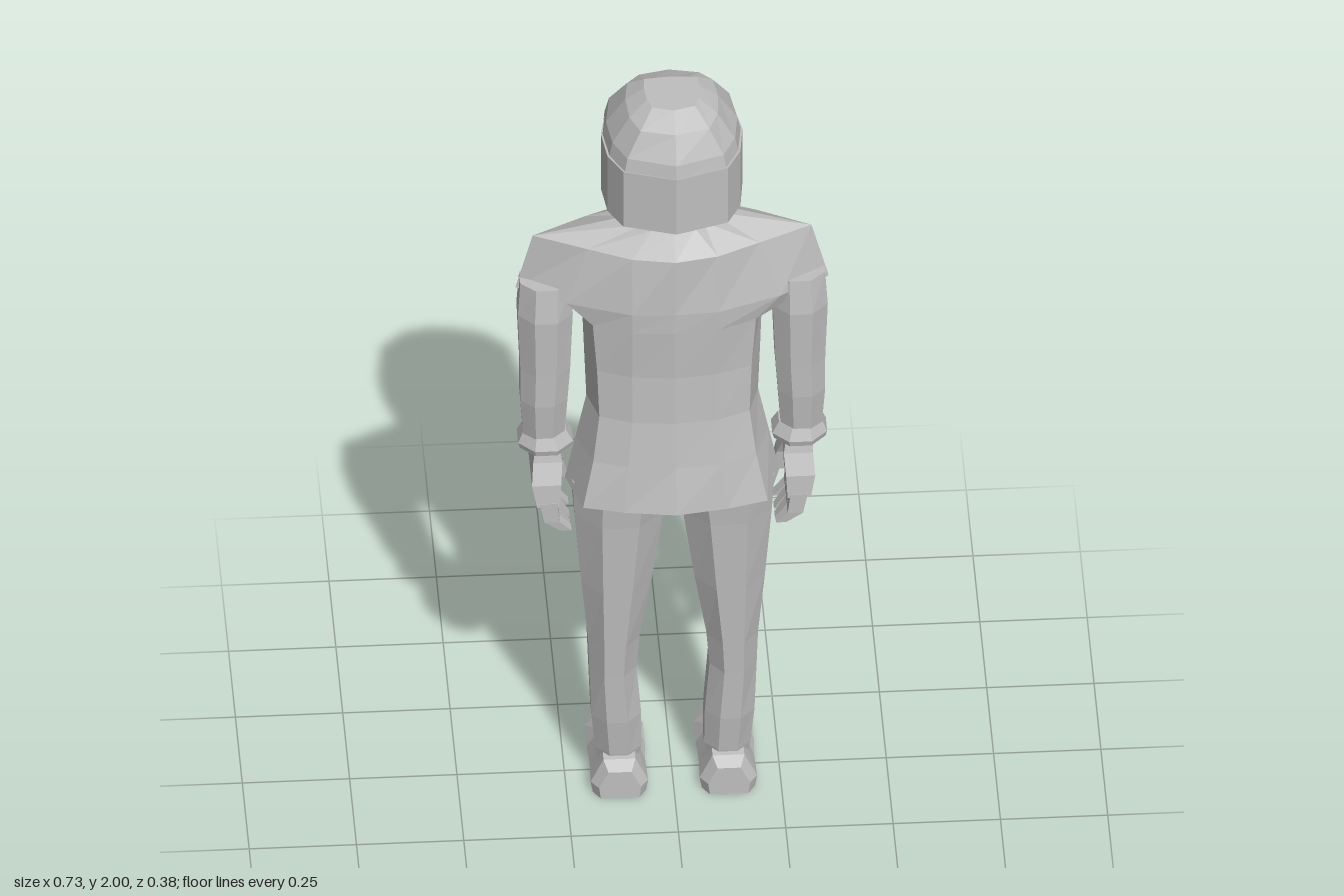
import * as THREE from 'three';

const clothGrey = new THREE.MeshStandardMaterial({ color: 0xbfbfbf });
clothGrey.name = 'plain grey';

// Skin equal-length rings of [x, y, z] into a closed faceted solid facing outward.
function loft(name, rings) {
  const tris = [];
  const n = rings[0].length;
  for (let i = 0; i + 1 < rings.length; i++) {
    for (let j = 0; j < n; j++) {
      const k = (j + 1) % n;
      const a = rings[i][j], b = rings[i][k], c = rings[i + 1][k], d = rings[i + 1][j];
      tris.push([a, b, c], [a, c, d]);
    }
  }
  const centre = r => [0, 1, 2].map(c => r.reduce((s, p) => s + p[c], 0) / n);
  const first = rings[0], last = rings[rings.length - 1];
  const c0 = centre(first), c1 = centre(last);
  for (let j = 0; j < n; j++) {
    const k = (j + 1) % n;
    tris.push([c0, first[k], first[j]], [c1, last[j], last[k]]);
  }
  const V = p => new THREE.Vector3(...p);
  const volume = tris.reduce((s, t) => s + V(t[0]).dot(V(t[1]).cross(V(t[2]))), 0);
  if (volume < 0) tris.forEach(t => t.reverse());
  const geo = new THREE.BufferGeometry();
  geo.setAttribute('position', new THREE.Float32BufferAttribute(tris.flat(2), 3));
  geo.computeVertexNormals();
  const mesh = new THREE.Mesh(geo, clothGrey);
  mesh.name = name;
  return mesh;
}

// Horizontal eight-sided ring, given centre and half sizes.
function oct(cx, y, cz, hx, hz, tilt = 0) {
  return Array.from({ length: 8 }, (_, i) => {
    const a = (i + 0.5) * Math.PI / 4, k = 1 / Math.cos(Math.PI / 8);
    const dz = Math.sin(a) * hz * k;
    return [cx + Math.cos(a) * hx * k, y + dz * tilt, cz + dz];
  });
}

// Rectangle ring lying at height y.
const rect = (cx, y, cz, hx, hz) =>
  [[cx - hx, y, cz - hz], [cx + hx, y, cz - hz], [cx + hx, y, cz + hz], [cx - hx, y, cz + hz]];

// Mirror half an outline (running from centre back to centre front) across x = 0.
const mirrorRing = (half, y) => [
  ...half.map(([x, z]) => [x, y, z]),
  ...half.slice(1, -1).reverse().map(([x, z]) => [-x, y, z])
];

// Jacket sections: height, then back, side and front points.
const jacket = [
  [0.88, [[0, 0.183], [0.12, 0.165], [0.215, 0.14], [0.25, 0.02], [0.19, -0.09], [0.09, -0.115], [0, -0.118]]],
  [1.0, [[0, 0.16], [0.11, 0.15], [0.19, 0.12], [0.225, 0.02], [0.18, -0.085], [0.09, -0.11], [0, -0.112]]],
  [1.12, [[0, 0.145], [0.1, 0.135], [0.175, 0.105], [0.2, 0.02], [0.165, -0.08], [0.09, -0.107], [0, -0.11]]],
  [1.25, [[0, 0.14], [0.1, 0.13], [0.18, 0.1], [0.205, 0.02], [0.175, -0.09], [0.09, -0.13], [0, -0.132]]],
  [1.385, [[0, 0.145], [0.1, 0.138], [0.19, 0.1], [0.21, 0.015], [0.185, -0.1], [0.085, -0.15], [0, -0.153]]],
  [1.44, [[0, 0.145], [0.1, 0.14], [0.25, 0.085], [0.365, 0.015], [0.22, -0.09], [0.085, -0.142], [0, -0.145]]],
  [1.59, [[0, 0.14], [0.1, 0.122], [0.2, 0.075], [0.325, 0.015], [0.2, -0.05], [0.085, -0.1], [0, -0.108]]],
  [1.645, [[0, 0.1], [0.05, 0.085], [0.07, 0.06], [0.085, 0.02], [0.07, -0.02], [0.04, -0.045], [0, -0.055]]]
];

// Thin strip that follows the front of the jacket.
function frontStrip(name, x0, x1, from, to) {
  return loft(name, jacket.slice(from, to).map(([y, h]) => {
    const z = Math.min(h[5][1], h[6][1]);
    return [[x0, y, z - 0.005], [x1, y, z - 0.005], [x1, y, z + 0.004], [x0, y, z + 0.004]];
  }));
}

function makeArm(s) {
  const arm = new THREE.Group();
  arm.name = s > 0 ? 'leftArm' : 'rightArm';
  arm.add(loft('sleeve', [
    oct(s * 0.295, 1.47, 0.018, 0.06, 0.055), oct(s * 0.297, 1.38, 0.018, 0.064, 0.066),
    oct(s * 0.297, 1.22, 0.02, 0.058, 0.058), oct(s * 0.3, 1.13, 0.022, 0.055, 0.054),
    oct(s * 0.3, 1.01, 0.018, 0.047, 0.045)]));
  arm.add(loft('cuff', [
    oct(s * 0.298, 1.03, 0.015, 0.05, 0.05), oct(s * 0.296, 1.0, 0.013, 0.064, 0.064),
    oct(s * 0.296, 0.985, 0.013, 0.06, 0.06)]));
  arm.add(loft('palm', [
    rect(s * 0.292, 0.99, 0.012, 0.028, 0.034), rect(s * 0.292, 0.95, 0.01, 0.034, 0.045),
    rect(s * 0.296, 0.9, 0.01, 0.034, 0.068), rect(s * 0.292, 0.84, 0.012, 0.027, 0.07)]));
  for (let i = 0; i < 4; i++) { // fingers curl inward
    const z = 0.066 - i * 0.036, drop = [0.015, 0, 0, 0.01][i];
    arm.add(loft('finger', [
      rect(s * 0.292, 0.85, z, 0.02, 0.017), rect(s * 0.283, 0.795, z, 0.018, 0.016),
      rect(s * 0.25, 0.752 + drop, z, 0.012, 0.013)]));
  }
  arm.add(loft('thumb', [
    rect(s * 0.288, 0.935, -0.045, 0.022, 0.02), rect(s * 0.27, 0.875, -0.07, 0.022, 0.02),
    rect(s * 0.25, 0.82, -0.07, 0.014, 0.014)]));
  return arm;
}

function makeLeg(s) {
  const leg = new THREE.Group();
  leg.name = s > 0 ? 'leftLeg' : 'rightLeg';
  const rows = [[0.9, 0.12, 0.02, 0.115, 0.113], [0.8, 0.126, 0.018, 0.104, 0.105],
    [0.6, 0.132, 0.018, 0.082, 0.092], [0.43, 0.138, 0.02, 0.06, 0.08], [0.34, 0.14, 0.022, 0.055, 0.072],
    [0.2, 0.132, 0.024, 0.058, 0.062], [0.1, 0.127, 0.022, 0.054, 0.052], [0.06, 0.127, 0.022, 0.045, 0.045]];
  leg.add(loft('trouserLeg', rows.map(([y, x, z, hx, hz]) => oct(s * x, y, z, hx, hz))));
  // Shoe sections run from heel to toe: z, half width, height.
  const shoe = [[0.112, 0.045, 0.075], [0.085, 0.062, 0.093], [0.01, 0.06, 0.1],
    [-0.05, 0.063, 0.078], [-0.13, 0.063, 0.058], [-0.188, 0.042, 0.04]];
  leg.add(loft('shoe', shoe.map(([z, w, h]) => [
    [-w, 0, z], [w, 0, z], [w * 1.08, 0.03, z], [w * 0.6, h, z], [-w * 0.6, h, z], [-w * 1.08, 0.03, z]
  ].map(([x, y, zz]) => [s * 0.127 + x, y, zz]))));
  return leg;
}

function makeHead() {
  const head = new THREE.Group();
  head.name = 'head';
  head.add(loft('neck', [oct(0, 1.6, 0.02, 0.062, 0.06), oct(0, 1.8, 0, 0.058, 0.055)]));
  head.add(loft('collar', [
    oct(0, 1.63, 0.02, 0.08, 0.072, 0.35), oct(0, 1.665, 0.022, 0.088, 0.08, 0.35),
    oct(0, 1.68, 0.02, 0.07, 0.062, 0.35)]));

  // Crown, with its underside forming the fringe.
  const crown = [
    [1.86, [[0, 0.187], [0.12, 0.148], [0.152, 0.085], [0.163, 0], [0.15, -0.098], [0.1, -0.13], [0, -0.138]]],
    [1.905, [[0, 0.18], [0.112, 0.143], [0.143, 0.08], [0.153, 0], [0.14, -0.09], [0.095, -0.13], [0, -0.138]]],
    [1.97, [[0, 0.145], [0.08, 0.125], [0.103, 0.07], [0.108, 0], [0.1, -0.06], [0.07, -0.09], [0, -0.105]]],
    [2.0, [[0, 0.09], [0.05, 0.075], [0.06, 0.045], [0.065, 0], [0.062, -0.034], [0.04, -0.036], [0, -0.04]]]];
  head.add(loft('hairCrown', crown.map(([y, h]) => mirrorRing(h, y))));
  // Hair curtain wraps round the back and sides, open over the face.
  const side = [[0.143, -0.095], [0.165, 0], [0.155, 0.085], [0.122, 0.148]];
  const path = [...side, [0, 0.187], ...side.map(([x, z]) => [-x, z]).reverse()];
  head.add(loft('hairCurtain', path.map(([x, z], i) => {
    const lean = i === 0 || i === path.length - 1 ? 0.02 : 0, k = 0.84;
    return [[x, 1.71, z], [x, 1.87, z - lean], [x * k, 1.87, z * k - lean], [x * k, 1.71, z * k]];
  })));

  // Face sections: height, half width, front depth.
  const face = [[1.665, 0.032, -0.105], [1.69, 0.058, -0.118], [1.725, 0.085, -0.118],
    [1.77, 0.11, -0.114], [1.82, 0.118, -0.108], [1.88, 0.12, -0.118]];
  head.add(loft('face', face.map(([y, w, z], i) => mirrorRing(
    [[0, i ? 0.03 : -0.06], [w, i ? 0.02 : -0.062], [w, i ? -0.05 : -0.075], [w * 0.55, z + 0.014], [0, z]], y))));
  head.add(loft('nose', [
    rect(0, 1.835, -0.11, 0.009, 0.008), rect(0, 1.78, -0.124, 0.014, 0.024), rect(0, 1.762, -0.118, 0.022, 0.012)]));
  head.add(loft('upperLip', [rect(0, 1.75, -0.115, 0.03, 0.009), rect(0, 1.736, -0.116, 0.042, 0.013)]));
  head.add(loft('lowerLip', [rect(0, 1.727, -0.116, 0.034, 0.012), rect(0, 1.714, -0.115, 0.022, 0.009)]));
  for (const s of [-1, 1]) {
    head.add(loft('brow', [rect(s * 0.052, 1.852, -0.107, 0.038, 0.01), rect(s * 0.052, 1.836, -0.106, 0.036, 0.018)]));
    head.add(loft('eye', [rect(s * 0.05, 1.822, -0.102, 0.02, 0.01), rect(s * 0.05, 1.808, -0.103, 0.022, 0.01)]));
    head.add(loft('cheek', [rect(s * 0.062, 1.795, -0.1, 0.024, 0.008), rect(s * 0.056, 1.765, -0.102, 0.02, 0.012),
      rect(s * 0.05, 1.74, -0.1, 0.014, 0.006)]));
  }
  return head;
}

export function createModel() {
  const model = new THREE.Group();
  model.name = 'standingFigure';
  model.add(loft('jacket', jacket.map(([y, h]) => mirrorRing(h, y))));
  model.add(loft('hips', [oct(0, 0.83, 0.02, 0.05, 0.075), oct(0, 0.9, 0.02, 0.17, 0.1)]));
  model.add(frontStrip('buttonSeam', -0.006, 0.006, 0, 7));
  for (const s of [-1, 1]) {
    model.add(frontStrip('frontPanelEdge', s * 0.07, s * 0.09, 0, 7));
    model.add(frontStrip('pocketFlap', s * 0.015, s * 0.06, 1, 3));
    model.add(makeArm(s), makeLeg(s));
  }
  model.add(makeHead());
  return model;
}
